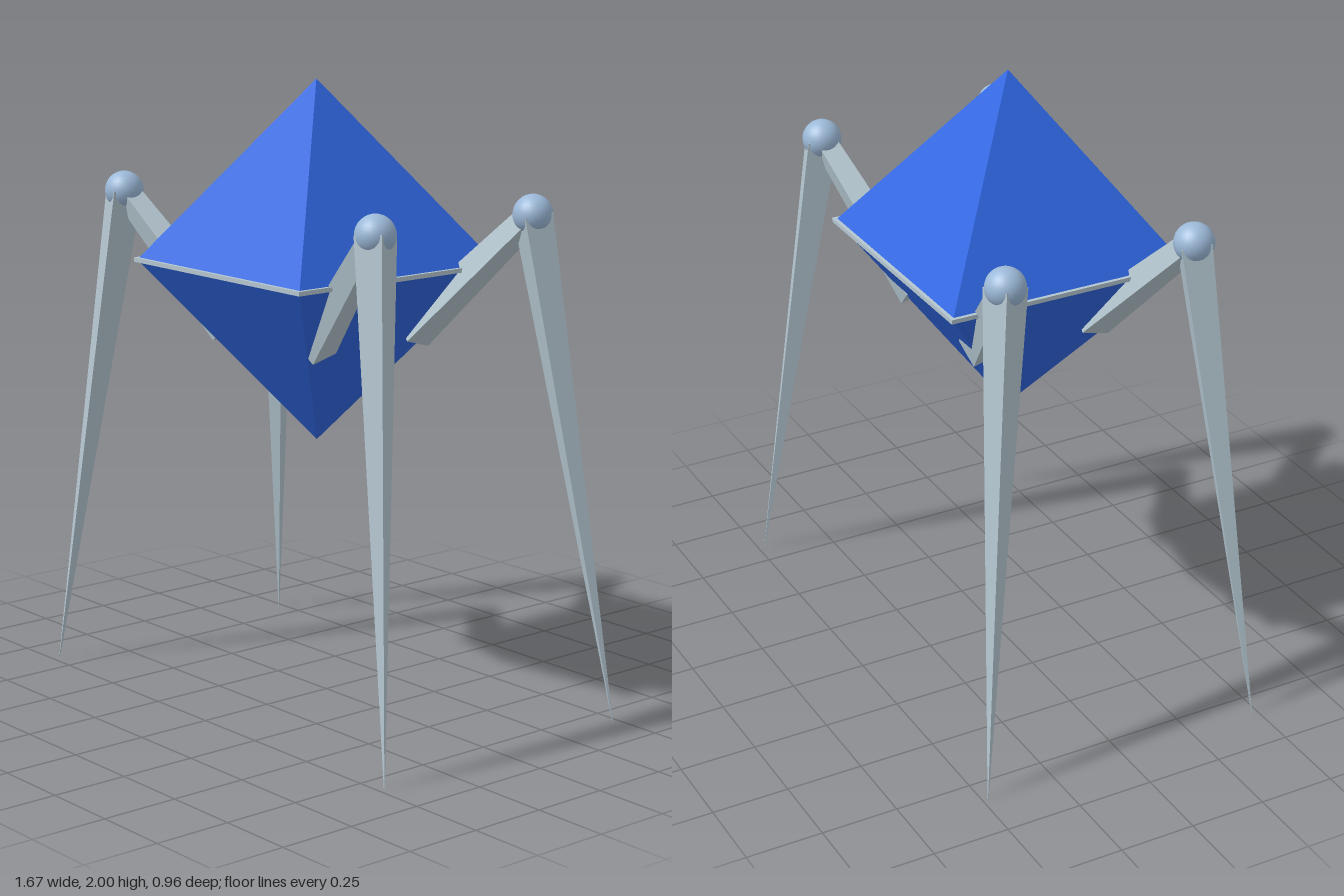
import * as THREE from 'three';

const blue = new THREE.MeshStandardMaterial({ color: 0x2f66e0, flatShading: true });
blue.name = 'royal blue';
const grey = new THREE.MeshStandardMaterial({ color: 0xb4c6d0, flatShading: true });
grey.name = 'pale grey';
const steel = new THREE.MeshStandardMaterial({ color: 0x9cb9d8 });
steel.name = 'steel blue';

// Square tapered bar from a to b, with one side facing as near to `hint` as possible
function taperedBar(a, b, widthA, widthB, hint) {
  const axis = a.clone().sub(b);
  const length = axis.length();
  axis.normalize();
  const side = hint.clone().addScaledVector(axis, -hint.dot(axis)).normalize();
  const third = new THREE.Vector3().crossVectors(side, axis);
  const geo = new THREE.CylinderGeometry(widthA * Math.SQRT1_2, widthB * Math.SQRT1_2, length, 4);
  geo.rotateY(Math.PI / 4);
  const frame = new THREE.Matrix4().makeBasis(side, axis, third);
  frame.setPosition(a.clone().add(b).multiplyScalar(0.5));
  return geo.applyMatrix4(frame);
}

export function createModel() {
  const model = new THREE.Group();
  const add = (parent, name, geo, mat) => {
    const mesh = new THREE.Mesh(geo, mat);
    mesh.name = name;
    parent.add(mesh);
    return mesh;
  };

  // Body: two square pyramids base to base, with a thin plate between them
  const body = new THREE.Group();
  body.name = 'body';
  body.position.set(0, 1.42, 0.04);
  model.add(body);
  const pyramid = (height) => new THREE.ConeGeometry(0.405 * Math.SQRT2, height, 4)
    .rotateY(Math.PI / 4).translate(0, height / 2, 0);
  add(body, 'upperPyramid', pyramid(0.58), blue);
  add(body, 'lowerPyramid', pyramid(0.575).rotateX(Math.PI), blue);
  add(body, 'beltPlate', new THREE.BoxGeometry(0.825, 0.014, 0.825), grey);

  // Four legs: arm, ball joint and pointed shin
  for (const sx of [1, -1]) {
    for (const sz of [1, -1]) {
      const leg = new THREE.Group();
      leg.name = (sz > 0 ? 'front' : 'back') + (sx > 0 ? 'Left' : 'Right') + 'Leg';
      model.add(leg);

      const root = new THREE.Vector3(0.215 * sx, 1.2, 0.025 + 0.2 * sz);
      const knee = new THREE.Vector3(0.62 * sx, 1.61, 0.015 + 0.32 * sz);
      const tip = new THREE.Vector3(0.835 * sx, 0, 0.48 * sz);

      add(leg, 'arm', taperedBar(knee, root, 0.062, 0.095,
        new THREE.Vector3(0, 0.24, -0.97 * sz)), grey);
      add(leg, 'shin', taperedBar(knee, tip, 0.094, 0.002,
        new THREE.Vector3(0.94 * sx, 0, -0.34 * sz)), grey);
      add(leg, 'kneeJoint', new THREE.SphereGeometry(0.063, 24, 16), steel)
        .position.copy(knee);
    }
  }
  return model;
}
